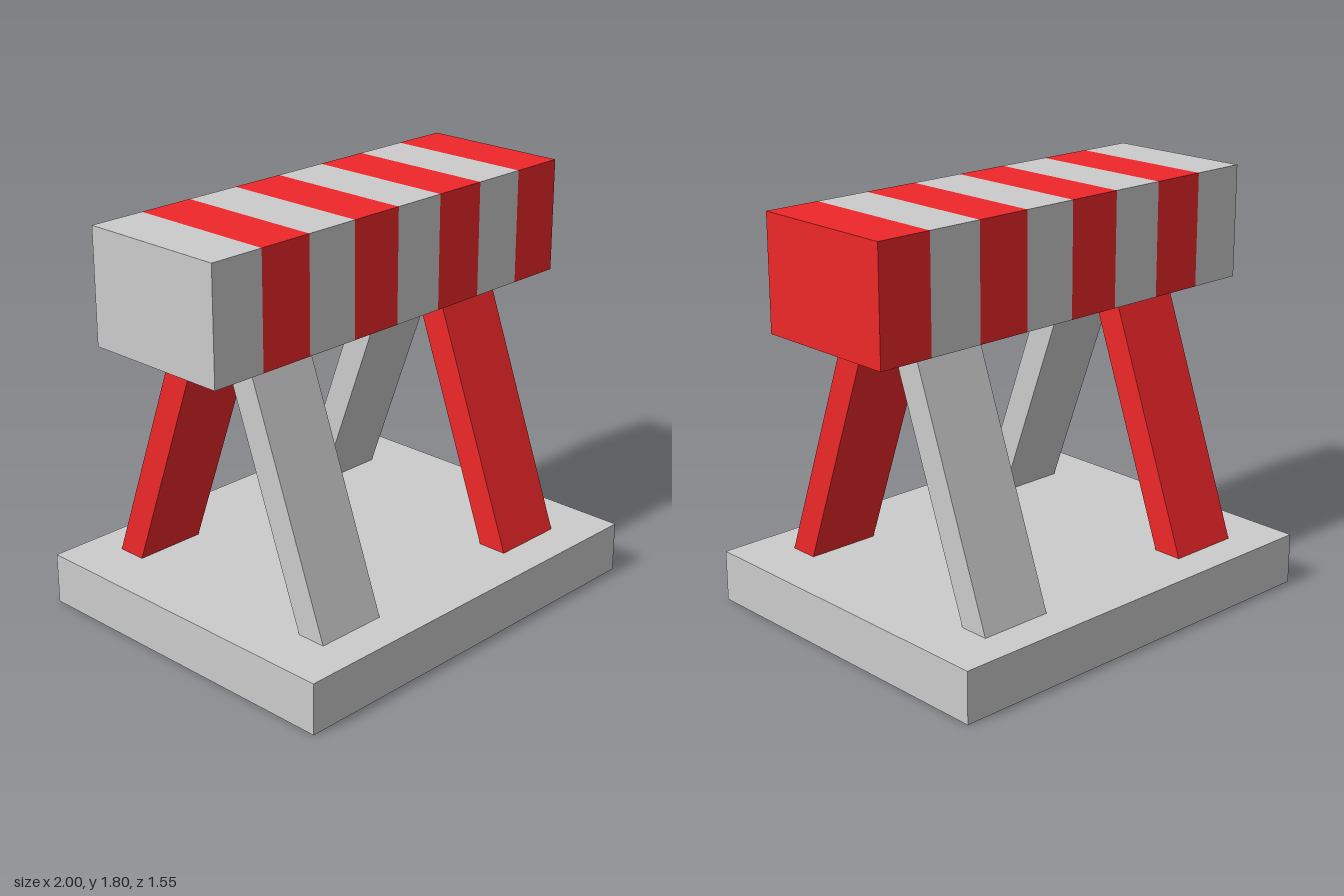
import * as THREE from 'three';

const grey = new THREE.MeshStandardMaterial({ color: 0xcccccc });
const red = new THREE.MeshStandardMaterial({ color: 0xef2729 });

const BASE_TOP = 0.225;
const BEAM_BOTTOM = 1.305;
const BEAM_TOP = 1.8;

function addMesh(group, name, geometry, material) {
  const mesh = new THREE.Mesh(geometry, material);
  mesh.name = name;
  group.add(mesh);
}

// Slanted leg: a parallelogram in the z-y plane, extruded along x
function legGeometry(xMin, xMax, bottomZ, topZ, thickness) {
  const h = thickness / 2;
  const shape = new THREE.Shape([
    new THREE.Vector2(bottomZ - h, BASE_TOP),
    new THREE.Vector2(bottomZ + h, BASE_TOP),
    new THREE.Vector2(topZ + h, BEAM_BOTTOM),
    new THREE.Vector2(topZ - h, BEAM_BOTTOM),
  ]);
  return new THREE.ExtrudeGeometry(shape, { depth: xMax - xMin, bevelEnabled: false })
    .rotateY(-Math.PI / 2)
    .translate(xMax, 0, 0);
}

// Keep only the beam's faces that lie in the even (0) or odd (1) stripes
function stripes(box, parity, count, length) {
  const pos = box.attributes.position;
  const index = box.index.array;
  const kept = [];
  for (let i = 0; i < index.length; i += 3) {
    const tri = [index[i], index[i + 1], index[i + 2]];
    const x = tri.reduce((sum, v) => sum + pos.getX(v), 0) / 3;
    const stripe = Math.floor(((x + length / 2) / length) * count);
    if (Math.min(stripe, count - 1) % 2 === parity) kept.push(...tri);
  }
  const geometry = box.clone();
  geometry.clearGroups();
  geometry.setIndex(kept);
  return geometry;
}

export function createModel() {
  const model = new THREE.Group();
  model.name = 'stripedBarrier';

  // Base slab
  addMesh(model, 'base',
    new THREE.BoxGeometry(1.91, BASE_TOP, 1.55).translate(0.01, BASE_TOP / 2, 0), grey);

  // Four legs, with colours alternating around the base
  const legs = new THREE.Group();
  legs.name = 'legs';
  const sides = [['Right', -0.715, -0.39], ['Left', 0.397, 0.728]];
  sides.forEach(([side, xMin, xMax], i) => {
    addMesh(legs, 'front' + side + 'Leg',
      legGeometry(xMin, xMax, 0.535, 0.14, 0.133), i ? red : grey);
    addMesh(legs, 'back' + side + 'Leg',
      legGeometry(xMin, xMax, -0.55, -0.155, 0.133), i ? grey : red);
  });
  model.add(legs);

  // Crossbeam with eight stripes
  const beam = new THREE.Group();
  beam.name = 'crossbeam';
  const box = new THREE.BoxGeometry(2, BEAM_TOP - BEAM_BOTTOM, 0.675, 8, 1, 1)
    .translate(0, (BEAM_TOP + BEAM_BOTTOM) / 2, -0.011);
  addMesh(beam, 'greyStripes', stripes(box, 0, 8, 2), grey);
  addMesh(beam, 'redStripes', stripes(box, 1, 8, 2), red);
  model.add(beam);

  return model;
}
